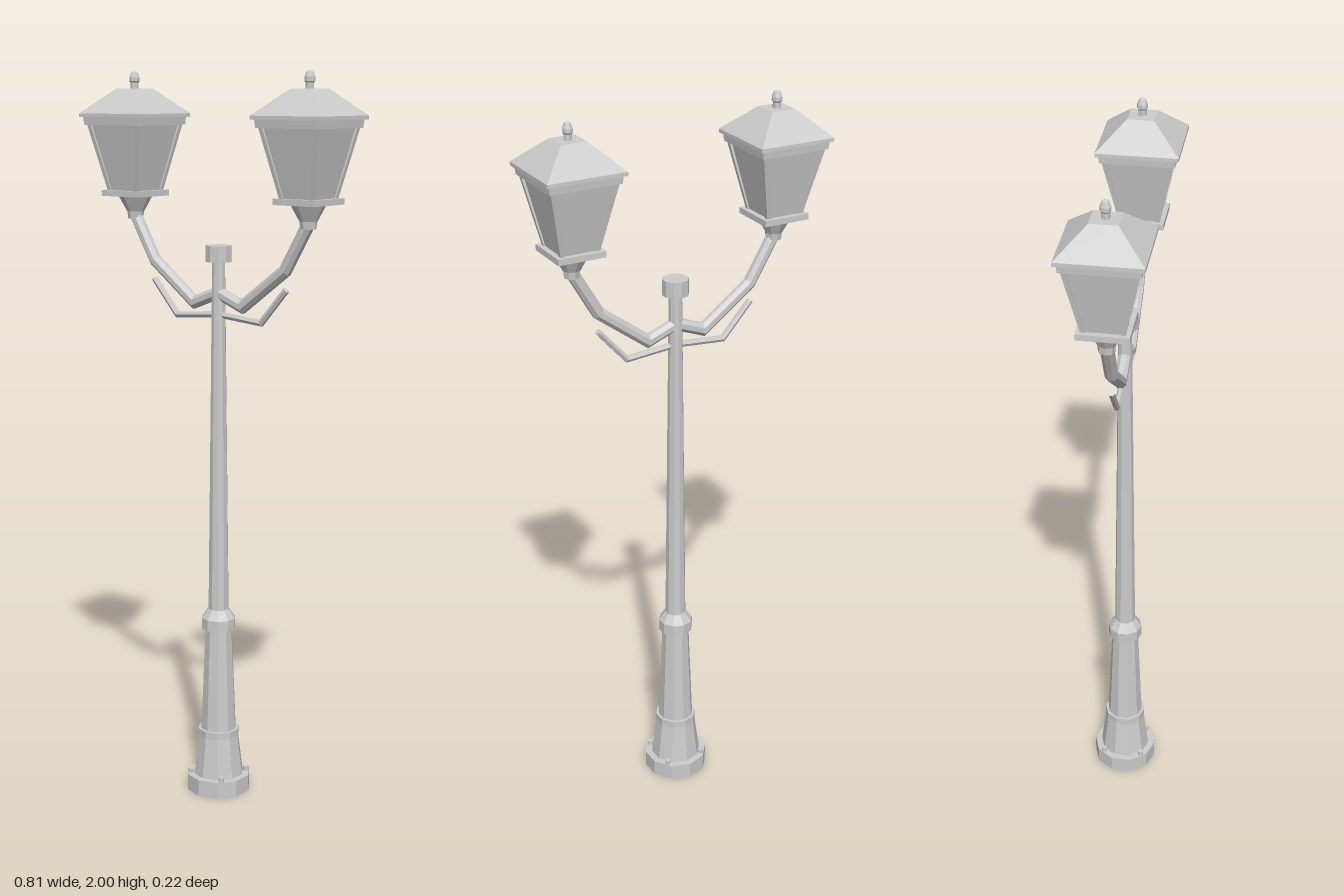
import * as THREE from 'three';

const material = new THREE.MeshStandardMaterial({ color: 0xcccccc, flatShading: true });

function add(parent, name, geometry, x = 0, y = 0, z = 0) {
  const mesh = new THREE.Mesh(geometry, material);
  mesh.name = name;
  mesh.position.set(x, y, z);
  parent.add(mesh);
  return mesh;
}

// Tapered prism standing between two heights
function taper(y0, y1, r0, r1, sides = 10) {
  return new THREE.CylinderGeometry(r1, r0, y1 - y0, sides).translate(0, (y0 + y1) / 2, 0);
}

// Square frustum given by its half widths
function square(y0, y1, h0, h1) {
  return new THREE.CylinderGeometry(h1 * Math.SQRT2, h0 * Math.SQRT2, y1 - y0, 4)
    .rotateY(Math.PI / 4).translate(0, (y0 + y1) / 2, 0);
}

// Mitred bar following a polyline in the xy plane
function bar(points, radius, sides) {
  const path = points.map(([x, y]) => new THREE.Vector2(x, y));
  const pos = [], index = [];
  const last = path.length - 1;
  path.forEach((p, i) => {
    const into = path[Math.max(i, 1)].clone().sub(path[Math.max(i, 1) - 1]).normalize();
    const k = Math.min(i, last - 1);
    const out = path[k + 1].clone().sub(path[k]).normalize();
    const dir = into.clone().add(out).normalize();
    const stretch = radius / dir.dot(out);
    for (let j = 0; j < sides; j++) {
      const a = ((j + 0.5) / sides) * Math.PI * 2;
      const c = Math.cos(a) * stretch;
      pos.push(p.x - dir.y * c, p.y + dir.x * c, Math.sin(a) * radius);
    }
  });
  for (let j = 0; j < sides; j++) {
    const n = (j + 1) % sides;
    for (let i = 0; i < last; i++) {
      const a = i * sides + j, b = i * sides + n;
      index.push(a, b, a + sides, b, b + sides, a + sides);
    }
    if (j > 0 && j < sides - 1) {
      const e = last * sides;
      index.push(0, n, j, e, e + j, e + n);
    }
  }
  const g = new THREE.BufferGeometry();
  g.setAttribute('position', new THREE.Float32BufferAttribute(pos, 3));
  g.setIndex(index);
  g.computeVertexNormals();
  return g;
}

// Mirrors the right half of a path so it runs across the pole
function mirrored(half) {
  return [...half.slice(1).reverse().map(([x, y]) => [-x, y]), ...half];
}

function createLantern() {
  const lantern = new THREE.Group();
  add(lantern, 'lanternStem', taper(1.6, 1.625, 0.021, 0.024, 8));
  add(lantern, 'lanternNeck', taper(1.62, 1.664, 0.024, 0.048, 8));
  add(lantern, 'lanternFloor', square(1.662, 1.678, 0.066, 0.066));
  add(lantern, 'glass', square(1.676, 1.858, 0.05, 0.086));

  // Leaning corner posts, sheared outward toward the roof
  const y0 = 1.676, y1 = 1.858;
  for (const sx of [-1, 1]) for (const sz of [-1, 1]) {
    const post = square(y0, y1, 0.006, 0.006);
    const p = post.attributes.position;
    for (let i = 0; i < p.count; i++) {
      const offset = 0.048 + 0.039 * (p.getY(i) - y0) / (y1 - y0);
      p.setX(i, p.getX(i) + sx * offset);
      p.setZ(i, p.getZ(i) + sz * offset);
    }
    post.computeVertexNormals();
    add(lantern, 'cornerPost', post);
  }

  add(lantern, 'roofFrame', square(1.855, 1.878, 0.098, 0.1));
  add(lantern, 'roofEave', square(1.876, 1.886, 0.108, 0.108));
  add(lantern, 'roof', square(1.886, 1.953, 0.108, 0.035));

  // Finial with a rounded tip
  const finial = [[0.011, 1.95], [0.011, 1.968], [0.014, 1.972], [0.014, 1.982], [0.009, 1.995], [0, 2]];
  add(lantern, 'finial', new THREE.LatheGeometry(finial.map(([r, y]) => new THREE.Vector2(r, y)), 8));
  return lantern;
}

export function createModel() {
  const model = new THREE.Group();
  model.name = 'streetLamp';

  // Pedestal and pole
  add(model, 'basePlate', taper(0, 0.046, 0.09, 0.09));
  add(model, 'flaredFoot', taper(0.046, 0.165, 0.071, 0.056));
  add(model, 'footRim', taper(0.16, 0.18, 0.058, 0.058));
  add(model, 'pedestal', taper(0.18, 0.475, 0.05, 0.038));
  add(model, 'collar', taper(0.473, 0.504, 0.048, 0.048));
  add(model, 'collarTop', taper(0.504, 0.53, 0.048, 0.03));
  add(model, 'pole', taper(0.53, 1.5, 0.029, 0.018));
  add(model, 'poleCap', taper(1.498, 1.542, 0.036, 0.036));

  // Anchor bolts
  for (const x of [-0.055, 0.055]) for (const z of [-0.055, 0.055]) {
    add(model, 'bolt', taper(0.04, 0.058, 0.008, 0.008, 8), x, 0, z);
  }

  // Lantern arms and the thinner braces below them
  const arm = [[0, 1.415], [0.083, 1.383], [0.225, 1.489], [0.297, 1.612]];
  const brace = [[0, 1.356], [0.145, 1.344], [0.228, 1.438]];
  add(model, 'arms', bar(mirrored(arm), 0.0175, 8));
  add(model, 'braces', bar(mirrored(brace), 0.009, 6));

  // Lanterns
  for (const side of [-1, 1]) {
    const lantern = createLantern();
    lantern.name = side > 0 ? 'leftLantern' : 'rightLantern';
    lantern.position.x = side * 0.297;
    model.add(lantern);
  }
  return model;
}
